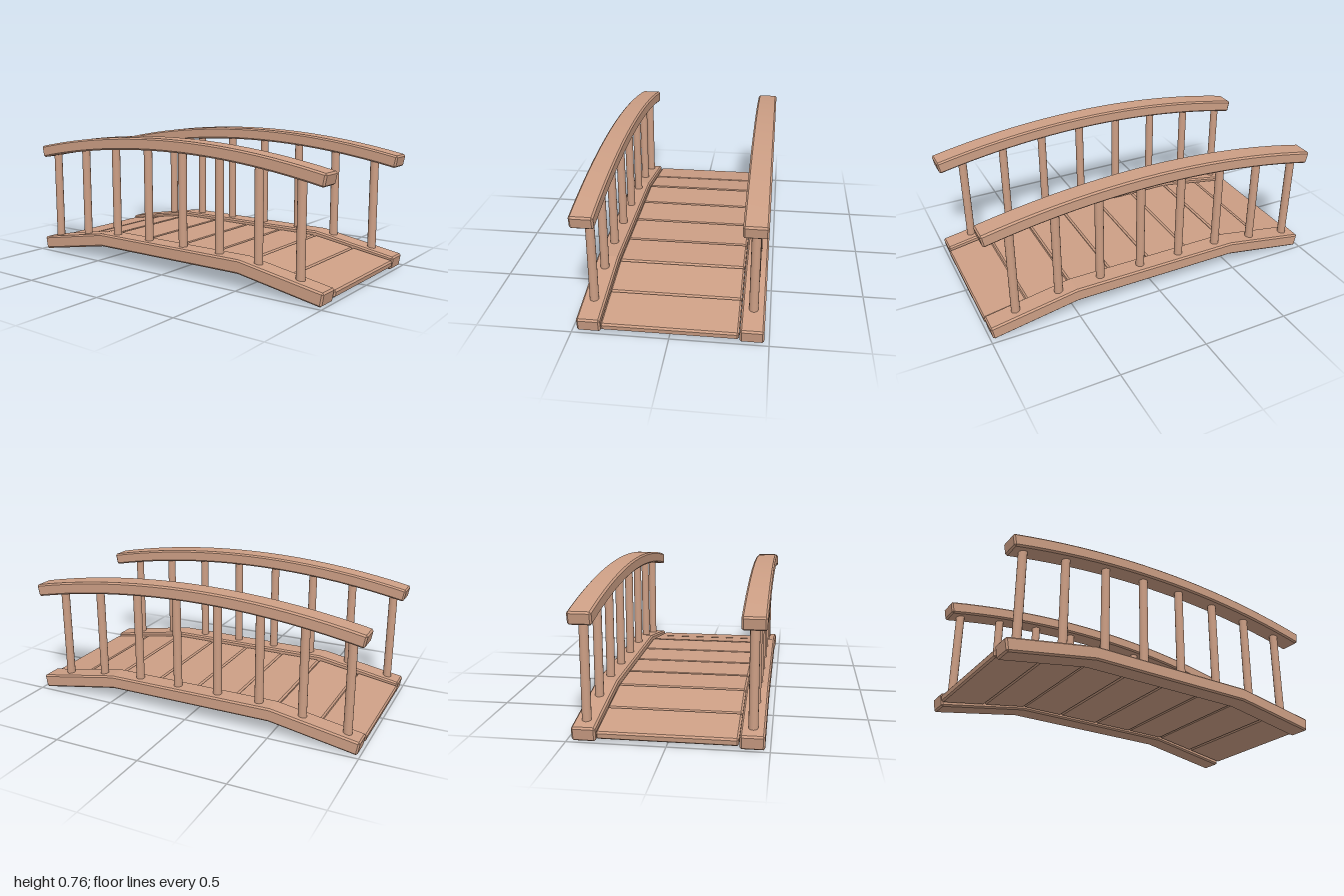
import * as THREE from 'three';
import { toCreasedNormals } from 'three/addons/utils/BufferGeometryUtils.js';

const BEVEL = 0.009;

// Sweep a bevelled rectangular section along a [z, y] path, with bevelled ends.
function sweepTimber(path, width, height) {
  const w = width / 2, h = height / 2, b = BEVEL;
  const full = [[w, b - h], [w, h - b], [w - b, h], [b - w, h], [-w, h - b], [-w, b - h], [b - w, -h], [w - b, -h]];
  const inset = full.map(([x, n]) => [Math.sign(x) * (w - b), Math.sign(n) * (h - b)]);
  const last = path.length - 1;
  const direction = (i) => new THREE.Vector2(path[i + 1][0] - path[i][0], path[i + 1][1] - path[i][1]).normalize();
  const rings = [];
  const addRing = (section, z, y, t, scale) =>
    rings.push(section.map(([x, n]) => [x, y + n * t.x * scale, z - n * t.y * scale]));

  path.forEach(([z, y], i) => {
    const before = direction(Math.max(i - 1, 0)), after = direction(Math.min(i, last - 1));
    const t = before.clone().add(after).normalize();
    if (i === 0) addRing(inset, z, y, t, 1);
    const shift = i === 0 ? b : i === last ? -b : 0;
    addRing(full, z + t.x * shift, y + t.y * shift, t, 1 / t.dot(after));
    if (i === last) addRing(inset, z, y, t, 1);
  });

  const index = [], sides = full.length, end = (rings.length - 1) * sides;
  for (let i = 0; i < rings.length - 1; i++) {
    for (let j = 0; j < sides; j++) {
      const k = (j + 1) % sides;
      const a = i * sides + j, c = i * sides + k;
      index.push(a, c, a + sides, c, c + sides, a + sides);
    }
  }
  for (let j = 1; j < sides - 1; j++) index.push(0, j + 1, j, end, end + j, end + j + 1);

  const geometry = new THREE.BufferGeometry();
  geometry.setAttribute('position', new THREE.Float32BufferAttribute(rings.flat(2), 3));
  geometry.setIndex(index);
  return toCreasedNormals(geometry, 0.1);
}

// Height of a surface that is flat in the middle and slopes down at both ends.
const ramp = (z, top, slope) => top - Math.max(0, Math.abs(z) - 0.495) * slope;

export function createModel() {
  const bridge = new THREE.Group();
  bridge.name = 'footbridge';
  const wood = new THREE.MeshStandardMaterial({ color: 0xcd9f85 });
  wood.name = 'wood';

  const add = (parent, name, geometry, x = 0, y = 0, z = 0) => {
    const mesh = new THREE.Mesh(geometry, wood);
    mesh.name = name;
    mesh.position.set(x, y, z);
    parent.add(mesh);
  };

  // Deck planks
  const deck = new THREE.Group();
  deck.name = 'deck';
  bridge.add(deck);
  const step = 0.2485;
  for (let i = -4; i < 4; i++) {
    const ends = [i * step, (i + 1) * step].map((z) => [z, ramp(z, 0.122, 0.163)]);
    add(deck, 'plank', sweepTimber(ends, 0.7, 0.042));
  }

  // Bent side beam and arched handrail
  const beamHeight = (z) => ramp(z, 0.1255, 0.173);
  const beam = sweepTimber([-0.99, -0.495, 0.495, 0.99].map((z) => [z, beamHeight(z)]), 0.122, 0.076);

  const radius = 4.81, railTop = 0.725, spread = Math.asin(0.99 / radius);
  const railHeight = (z) => railTop - radius + Math.sqrt(radius * radius - z * z);
  const arc = Array.from({ length: 21 }, (_, i) => {
    const z = radius * Math.sin(spread * (i / 10 - 1));
    return [z, railHeight(z)];
  });
  const rail = sweepTimber(arc, 0.122, 0.07);

  // Both sides, with balusters running between beam and rail
  for (const [name, x] of [['leftSide', 0.414], ['rightSide', -0.414]]) {
    const side = new THREE.Group();
    side.name = name;
    side.position.x = x;
    bridge.add(side);
    add(side, 'beam', beam);
    add(side, 'handrail', rail);
    for (let i = 0; i < 8; i++) {
      const z = 0.835 - i * 0.2497;
      const bottom = beamHeight(z), top = railHeight(z);
      add(side, 'baluster', new THREE.CylinderGeometry(0.024, 0.024, top - bottom, 16), 0, (top + bottom) / 2, z);
    }
  }
  return bridge;
}
